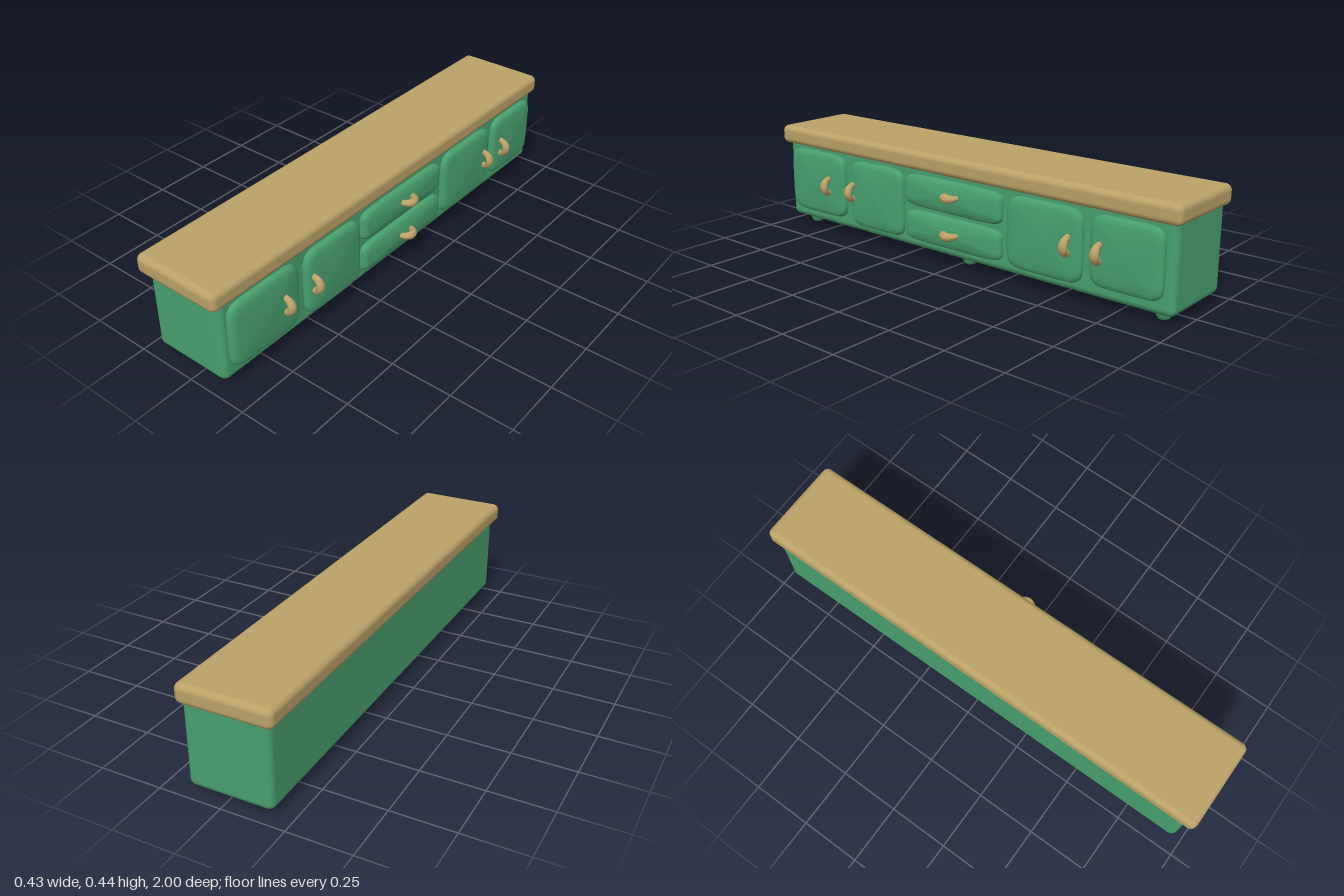
import * as THREE from 'three';
import { RoundedBoxGeometry } from 'three/addons/geometries/RoundedBoxGeometry.js';

const green = new THREE.MeshStandardMaterial({ color: 0x489f6e });
green.name = 'green paint';
const wood = new THREE.MeshStandardMaterial({ color: 0xbaa167 });
wood.name = 'light wood';

// rounded block from its minimum and maximum corners
function block(min, max, radius) {
  const size = max.map((v, i) => v - min[i]);
  const geo = new RoundedBoxGeometry(...size, 5, radius);
  return geo.translate(...max.map((v, i) => (v + min[i]) / 2));
}

// softly domed panel with rounded corners, facing +x
function panelGeometry(width, height) {
  const a = width / 2, b = height / 2, n = 72;
  // inset from the outline, depth, scale
  const rings = [
    [0, 0.125, 1], [0, 0.148, 1], [0.003, 0.156, 1], [0.01, 0.162, 1],
    [0.025, 0.167, 1], [0.03, 0.171, 0.6], [0.03, 0.173, 0.01],
  ];
  const pos = [], index = [];
  const power = (v) => Math.sign(v) * Math.pow(Math.abs(v), 0.32);
  rings.forEach(([inset, depth, scale], r) => {
    for (let i = 0; i < n; i++) {
      const t = (i / n) * Math.PI * 2;
      pos.push((a - inset) * scale * power(Math.cos(t)), (b - inset) * scale * power(Math.sin(t)), depth);
      if (r === rings.length - 1) continue;
      const j = (i + 1) % n, p = r * n, q = p + n;
      index.push(p + i, p + j, q + j, p + i, q + j, q + i);
    }
  });
  const geo = new THREE.BufferGeometry();
  geo.setAttribute('position', new THREE.Float32BufferAttribute(pos, 3));
  geo.setIndex(index);
  geo.computeVertexNormals();
  return geo.rotateY(Math.PI / 2);
}

// arched pull, thicker at its middle, bulging towards +x
function handleGeometry() {
  const R = 0.03;
  const geo = new THREE.TorusGeometry(R, 0.0135, 14, 28, Math.PI);
  const p = geo.attributes.position;
  for (let i = 0; i < p.count; i++) {
    const mid = p.getY(i) / Math.hypot(p.getX(i), p.getY(i));
    p.setZ(i, p.getZ(i) * (0.85 + 0.5 * mid * mid));
  }
  geo.rotateZ(-Math.PI / 2).scale(1.05, 1, 1);
  geo.computeVertexNormals();
  return geo;
}

export function createModel() {
  const model = new THREE.Group();
  model.name = 'sideboard';
  const add = (name, geo, mat, x = 0, y = 0, z = 0) => {
    const mesh = new THREE.Mesh(geo, mat);
    mesh.name = name;
    mesh.position.set(x, y, z);
    model.add(mesh);
    return mesh;
  };

  // carcass and countertop
  add('body', block([-0.196, 0.037, -0.983], [0.14, 0.41, 0.967], 0.028), green);
  add('countertop', block([-0.218, 0.366, -1], [0.157, 0.445, 1], 0.025), wood);

  // doors and drawers: name, z range, y range, handle z, handle y
  const fronts = [
    ['door', 0.598, 0.936, 0.082, 0.357, 0.683, 0.22],
    ['door', 0.255, 0.56, 0.07, 0.353, 0.533, 0.22],
    ['drawer', -0.255, 0.239, 0.22, 0.353, -0.018, 0.297],
    ['drawer', -0.255, 0.239, 0.076, 0.204, -0.014, 0.143],
    ['door', -0.619, -0.281, 0.073, 0.356, -0.568, 0.22],
    ['door', -0.946, -0.651, 0.088, 0.356, -0.7, 0.22],
  ];
  const handle = handleGeometry();
  for (const [name, z0, z1, y0, y1, hz, hy] of fronts) {
    add(name, panelGeometry(z1 - z0, y1 - y0), green, 0, (y0 + y1) / 2, (z0 + z1) / 2);
    const pull = add(name + 'Handle', handle, wood, 0.169, hy, hz);
    if (name === 'drawer') pull.rotation.x = Math.PI / 2;
  }

  // six bun feet
  const footProfile = [[0, 0], [0.014, 0.001], [0.022, 0.005], [0.028, 0.014], [0.031, 0.026], [0.036, 0.036], [0.036, 0.05]];
  const foot = new THREE.LatheGeometry(footProfile.map(([r, y]) => new THREE.Vector2(r, y)), 28);
  for (const x of [-0.12, 0.066])
    for (const z of [-0.908, -0.03, 0.886]) add('foot', foot, green, x, 0, z);

  return model;
}
